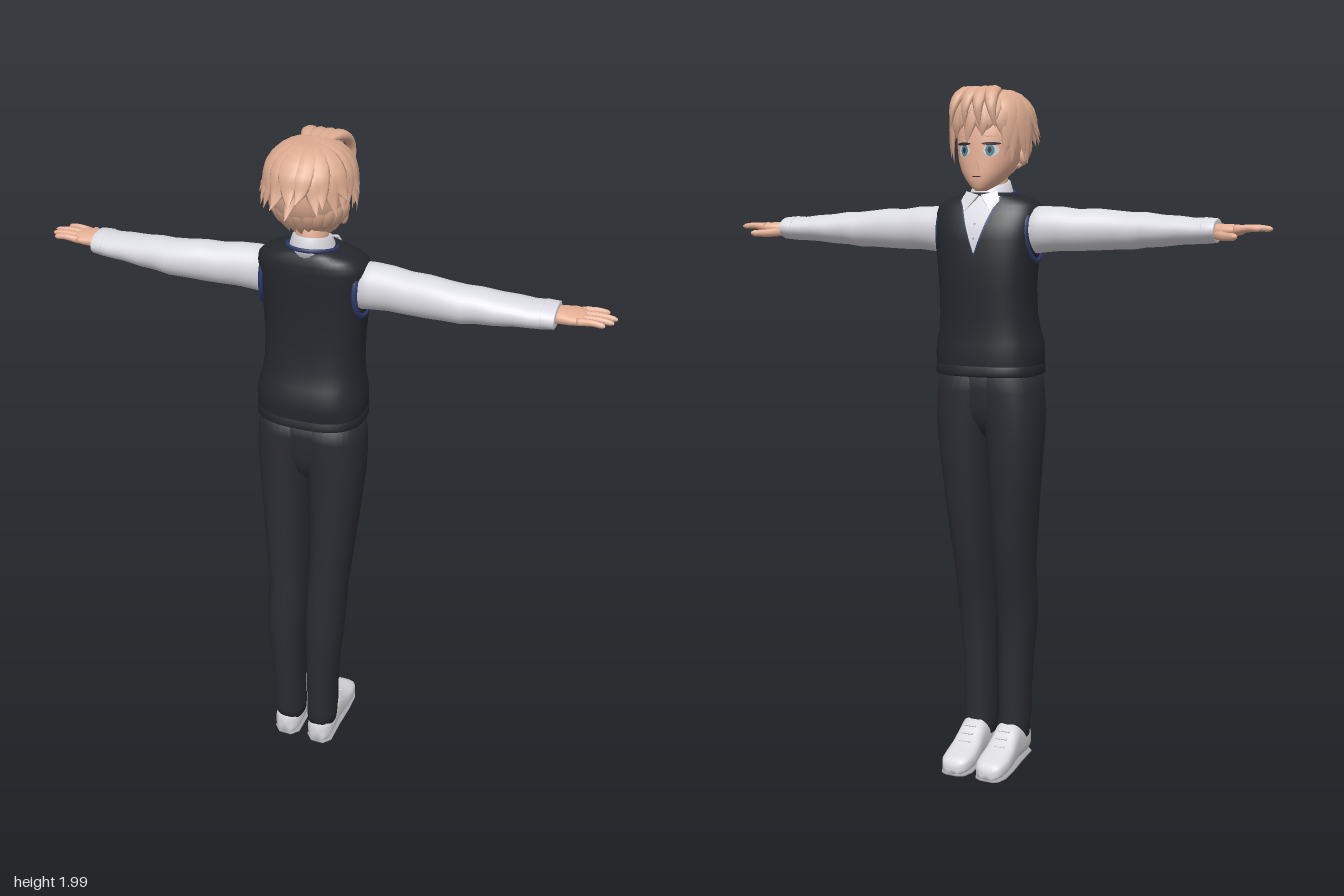
import * as THREE from 'three';

const mat = (name, color, side = THREE.FrontSide) => {
  const m = new THREE.MeshStandardMaterial({ color, side });
  m.name = name;
  return m;
};

// Grid of rings -> smooth closed skin with capped ends
function skin(rings) {
  const n = rings[0].length, pos = [], idx = [];
  rings.forEach(r => r.forEach(p => pos.push(p.x, p.y, p.z)));
  for (let j = 0; j < rings.length - 1; j++)
    for (let i = 0; i < n; i++) {
      const a = j * n + i, b = j * n + (i + 1) % n;
      idx.push(a, a + n, b, b, a + n, b + n);
    }
  [0, rings.length - 1].forEach(j => {
    const c = new THREE.Vector3();
    rings[j].forEach(p => c.addScaledVector(p, 1 / n));
    const k = pos.length / 3;
    pos.push(c.x, c.y, c.z);
    for (let i = 0; i < n; i++) {
      const a = j * n + i, b = j * n + (i + 1) % n;
      j ? idx.push(k, b, a) : idx.push(k, a, b);
    }
  });
  const g = new THREE.BufferGeometry();
  g.setAttribute('position', new THREE.Float32BufferAttribute(pos, 3));
  g.setIndex(idx);
  g.computeVertexNormals();
  return g;
}

// Superellipse loft; each row is [position, uMin, uMax, vMin, vMax]
const AXES = { y: ['x', 'z'], x: ['z', 'y'], z: ['y', 'x'] };
function loft(axis, rows, p = 2, n = 32) {
  const [u, v] = AXES[axis], q = c => Math.sign(c) * Math.abs(c) ** (2 / p);
  return skin(rows.map(([s, a, b, c, d]) => Array.from({ length: n }, (_, i) => {
    const t = i / n * Math.PI * 2, pt = new THREE.Vector3();
    pt[axis] = s;
    pt[u] = (a + b) / 2 + (b - a) / 2 * q(Math.cos(t));
    pt[v] = (c + d) / 2 + (d - c) / 2 * q(Math.sin(t));
    return pt;
  })));
}

// Tapered strand along a curve, flattened against a centre point
function strand(points, width, thick, centre, taper, steps = 10, n = 8) {
  const curve = new THREE.CatmullRomCurve3(points.map(p => new THREE.Vector3(...p)));
  return skin(Array.from({ length: steps + 1 }, (_, j) => {
    const t = j / steps, c = curve.getPoint(t), dir = curve.getTangent(t);
    const side = new THREE.Vector3().crossVectors(c.clone().sub(centre), dir).normalize();
    const out = new THREE.Vector3().crossVectors(dir, side).normalize(), k = taper(t);
    return Array.from({ length: n }, (_, i) => {
      const a = i / n * Math.PI * 2;
      return c.clone().addScaledVector(out, thick * k * Math.cos(a)).addScaledVector(side, width * k * Math.sin(a));
    });
  }));
}

function mirror(g) {
  const m = g.clone().scale(-1, 1, 1), ix = m.index.array;
  for (let i = 0; i < ix.length; i += 3) [ix[i], ix[i + 1]] = [ix[i + 1], ix[i]];
  m.computeVertexNormals();
  return m;
}

// Thin patch lying on the front (-z) of a y loft
function decal(rows, p, cx, yTop, yBot, half, off) {
  const g = new THREE.PlaneGeometry(1, 1, 8, 12), a = g.attributes.position;
  for (let i = 0; i < a.count; i++) {
    const t = 0.5 - a.getY(i), y = yTop + (yBot - yTop) * t, x = cx - 2 * a.getX(i) * half(t);
    let j = 0;
    while (j < rows.length - 2 && rows[j + 1][0] < y) j++;
    const f = (y - rows[j][0]) / (rows[j + 1][0] - rows[j][0]);
    const [, x0, x1, z0, z1] = rows[j].map((v, k) => v + (rows[j + 1][k] - v) * f);
    const e = Math.min(1, Math.abs((x - (x0 + x1) / 2) / ((x1 - x0) / 2)));
    a.setXYZ(i, x, y, (z0 + z1) / 2 - (z1 - z0) / 2 * (1 - e ** p) ** (1 / p) - off);
  }
  g.computeVertexNormals();
  return g;
}

export function createModel() {
  const M = {
    hair: mat('hair', 0xdcab90), skin: mat('skin', 0xe6b096), shirt: mat('shirt', 0xd9d9e0, THREE.DoubleSide),
    vest: mat('vest', 0x24272d), trousers: mat('trousers', 0x2a2b32), shoe: mat('shoe', 0xdcdce0),
    sole: mat('sole', 0xa6a6ac), navy: mat('navy trim', 0x2f3a68), dark: mat('dark line', 0x33262a), iris: mat('iris', 0x4a8c98),
  };
  const root = new THREE.Group();
  root.name = 'student';
  const add = (name, g, m) => {
    const o = new THREE.Mesh(g, m);
    o.name = name;
    root.add(o);
  };
  const pair = (name, g, m) => { add(name + 'Left', g, m); add(name + 'Right', mirror(g), m); };
  const sym = rows => rows.map(([y, x, z0, z1]) => [y, -x, x, z0, z1]);

  // Vest with a ribbed hem
  const vestRows = sym([[1.19, .148, -.125, .1], [1.2, .154, -.132, .107], [1.25, .156, -.132, .108], [1.28, .154, -.13, .108],
    [1.31, .146, -.128, .094], [1.36, .14, -.129, .08], [1.43, .139, -.133, .073], [1.5, .144, -.135, .07], [1.57, .15, -.132, .07],
    [1.61, .154, -.124, .071], [1.645, .155, -.109, .071], [1.665, .151, -.098, .069], [1.68, .134, -.088, .065], [1.692, .1, -.08, .06], [1.702, .062, -.072, .056]]);
  add('vest', loft('y', vestRows, 2.6, 48), M.vest);
  add('vestHem', loft('y', sym([[1.187, .15, -.127, .102], [1.192, .157, -.134, .11], [1.216, .157, -.134, .11], [1.222, .15, -.127, .1]]), 2.6, 48), M.vest);
  add('neckTrim', decal(vestRows, 2.6, 0, 1.69, 1.527, t => .061 * (1 - t) + .001, .002), M.navy);
  add('shirtFront', decal(vestRows, 2.6, 0, 1.692, 1.535, t => .056 * (1 - t) + .001, .004), M.shirt);
  for (const y of [1.575, 1.615]) add('button', decal(vestRows, 2.6, 0, y + .004, y - .004, t => .004 * Math.sin(Math.PI * t), .006), M.sole);

  // Neck and shirt collar
  add('neck', loft('y', sym([[1.64, .046, -.055, .045], [1.72, .043, -.05, .046], [1.79, .046, -.05, .05]])), M.skin);
  const collar = loft('y', sym([[1.67, .068, -.085, .062], [1.7, .062, -.078, .062], [1.73, .052, -.065, .056], [1.73, .046, -.058, .05]]));
  const cp = collar.attributes.position;
  for (let i = 0; i < cp.count; i++) cp.setY(i, cp.getY(i) + cp.getZ(i) * .22);
  collar.computeVertexNormals();
  add('collar', collar, M.shirt);
  add('collarTrim', new THREE.TorusGeometry(1, .07, 8, 40).rotateX(Math.PI / 2).scale(.068, .08, .07).rotateX(-.15).translate(0, 1.699, -.006), M.navy);
  const flap = new THREE.Shape([[.004, .0], [.05, .012], [.058, -.018], [.034, -.052]].map(p => new THREE.Vector2(...p)));
  const flapGeo = new THREE.ExtrudeGeometry(flap, { depth: .006, bevelEnabled: false }).rotateX(.5).rotateY(-.25).translate(0, 1.695, -.094);
  add('collarFlapLeft', flapGeo, M.shirt);
  add('collarFlapRight', flapGeo.clone().scale(-1, 1, 1), M.shirt);

  // Sleeves, armhole trim wrapped onto the vest, and cuffs
  const sleeve = [[.12, -.078, .036, 1.53, 1.664], [.17, -.082, .034, 1.536, 1.664], [.22, -.076, .036, 1.541, 1.663], [.27, -.074, .039, 1.541, 1.656],
    [.32, -.068, .044, 1.543, 1.658], [.38, -.064, .047, 1.546, 1.652], [.42, -.066, .048, 1.546, 1.648], [.46, -.066, .044, 1.552, 1.648],
    [.51, -.071, .042, 1.555, 1.641], [.56, -.074, .037, 1.561, 1.638], [.6, -.077, .034, 1.563, 1.633], [.63, -.079, .031, 1.564, 1.634], [.66, -.082, .026, 1.568, 1.631]];
  pair('sleeve', loft('x', sleeve), M.shirt);
  const trim = new THREE.TorusGeometry(1, .11, 8, 40).rotateY(Math.PI / 2).scale(.09, .077, .062), tp = trim.attributes.position;
  for (let i = 0; i < tp.count; i++) {
    const z = tp.getZ(i) / .062, y = tp.getY(i) / .077;
    tp.setXYZ(i, tp.getX(i) * .7 + .148 - .014 * z * z - (y > 0 ? .012 : .004) * y * y, tp.getY(i) + 1.589, tp.getZ(i) - .022);
  }
  trim.computeVertexNormals();
  pair('armholeTrim', trim, M.navy);
  pair('cuff', loft('x', [[.624, -.077, .03, 1.566, 1.632], [.627, -.081, .032, 1.564, 1.635], [.66, -.083, .027, 1.567, 1.632], [.662, -.078, .02, 1.572, 1.627]]), M.shirt);

  // Hands
  pair('palm', loft('x', [[.64, -.062, .0, 1.58, 1.618], [.67, -.075, .0, 1.58, 1.618], [.7, -.085, .004, 1.583, 1.617], [.725, -.08, .004, 1.588, 1.615], [.735, -.07, 0, 1.594, 1.61]], 2.4, 20), M.skin);
  const under = new THREE.Vector3(.7, 1, -.04), round = t => t > .99 ? .3 : 1 - .35 * t;
  [[-.073, -.079, .785], [-.05, -.047, .81], [-.025, -.022, .805], [-.003, .002, .787]].forEach(([z0, z1, x]) =>
    pair('finger', strand([[.715, 1.602, z0], [(x + .72) / 2, 1.607, (z0 + z1) / 2], [x, 1.604, z1]], .011, .011, under, round), M.skin));
  pair('thumb', strand([[.665, 1.59, -.055], [.695, 1.585, -.092], [.732, 1.585, -.126]], .015, .014, under, round), M.skin);

  // Trousers: seat filling between the two legs
  add('seat', loft('y', sym([[.985, .02, -.03, .04], [1.02, .05, -.07, .07], [1.06, .085, -.094, .082], [1.1, .11, -.102, .087], [1.15, .14, -.104, .088], [1.22, .145, -.108, .09]]), 2.2, 40), M.trousers);
  pair('leg', loft('y', [[.065, .01, .098, -.012, .1], [.1, .008, .099, -.016, .106], [.14, .009, .103, -.012, .108], [.2, .009, .102, -.014, .11], [.32, .008, .108, -.015, .116],
    [.44, .007, .119, -.02, .121], [.52, .005, .121, -.035, .116], [.6, .004, .121, -.055, .107], [.7, .007, .129, -.073, .099], [.82, .005, .14, -.089, .094],
    [.92, .002, .149, -.098, .091], [1, -.004, .157, -.105, .09], [1.08, -.014, .16, -.107, .09], [1.14, -.03, .157, -.108, .09], [1.21, -.04, .15, -.108, .088]], 2.3), M.trousers);

  // Shoes
  pair('shoe', loft('z', [[-.177, .006, .035, .035, .075], [-.17, .004, .046, .02, .09], [-.15, .003, .055, .01, .099], [-.115, .003, .062, .006, .103], [-.075, .003, .076, .008, .102],
    [-.04, .003, .1, .012, .099], [-.01, .003, .12, .013, .098], [.02, .003, .112, .013, .098], [.06, .003, .094, .013, .098], [.09, .003, .088, .02, .092], [.102, .006, .078, .034, .078]], 2.9), M.shoe);
  pair('sole', loft('z', [[-.178, 0, .006, .035, .075], [-.17, 0, .006, .018, .092], [-.14, 0, .006, .006, .103], [-.08, 0, .006, .006, .104], [0, 0, .006, .013, .099], [.08, 0, .006, .014, .098], [.103, 0, .006, .035, .077]], 6), M.sole);
  for (let i = 0; i < 3; i++)
    pair('lace', new THREE.CylinderGeometry(.003, .003, .036, 8).rotateZ(Math.PI / 2).translate(.056, .073 + i * .017, -.084 + i * .02), M.shoe);

  // Head, nose and ears
  const headRows = sym([[1.706, .014, -.1, -.06], [1.716, .03, -.108, -.03], [1.735, .05, -.113, .01], [1.76, .07, -.114, .045], [1.79, .083, -.113, .07],
    [1.83, .09, -.112, .085], [1.88, .092, -.11, .092], [1.93, .08, -.092, .085], [1.96, .05, -.06, .055]]);
  add('head', loft('y', headRows, 2.2, 40), M.skin);
  add('nose', new THREE.ConeGeometry(.009, .032, 8).rotateX(-.25).translate(0, 1.778, -.115), M.skin);
  pair('ear', new THREE.SphereGeometry(1, 16, 12).scale(.011, .026, .017).translate(.092, 1.803, .008), M.skin);

  // Eyes, brows and mouth
  const oval = (w, e = .6) => t => w * Math.max(0, Math.sin(Math.PI * t)) ** e;
  for (const s of [-1, 1]) {
    const face = (name, x, top, bot, half, off, m) => add(name, decal(headRows, 2.2, s * x, top, bot, half, off), m);
    face('eyeWhite', .04, 1.833, 1.799, oval(.02), .002, M.shirt);
    face('iris', .038, 1.833, 1.799, oval(.012), .0035, M.iris);
    face('pupil', .038, 1.825, 1.808, oval(.005), .005, M.dark);
    face('lash', .041, 1.838, 1.829, oval(.024), .006, M.dark);
    face('brow', .04, 1.856, 1.851, oval(.021), .004, M.hair);
  }
  add('mouth', decal(headRows, 2.2, 0, 1.746, 1.743, oval(.014), .002), M.dark);

  // Hair cap: hem low at the nape, high over the face
  const cap = new THREE.SphereGeometry(1, 40, 16), pos = cap.attributes.position, uv = cap.attributes.uv;
  for (let i = 0; i < pos.count; i++) {
    const a = uv.getX(i) * Math.PI * 2, back = Math.cos(a);
    const th = (1 - uv.getY(i)) * (1.72 + .5 * back), r = Math.sin(th);
    pos.setXYZ(i, Math.sin(a) * r * .112, 1.87 + .116 * Math.cos(th), .006 + back * r * .12);
  }
  cap.computeVertexNormals();
  add('hairCap', cap, M.hair);

  // Hair locks in two layers around the crown; angle 0 is the back
  let seed = 7;
  const rnd = () => (seed = seed * 16807 % 2147483647) / 2147483647;
  const centre = new THREE.Vector3(0, 1.86, 0), leaf = t => Math.max(.03, Math.min(1, .35 + t * 1.6) * (1 - t ** 3));
  const lock = (a, swirl, tipY, tipR, lift, w) => {
    const at = (k, y, f) => {
      const b = a + swirl * f, c = Math.cos(b);
      return [Math.sin(b) * k * .116, y, .006 + c * k * (c > 0 ? .128 : .124)];
    };
    add('hairLock', strand([at(.08, 1.977 + lift, -1), at(.55, 1.968 + lift, -.6), at(.92, 1.925 + lift, 0), at(1.02, (1.925 + tipY) / 2, .4), at(tipR, tipY, 1)], w, .01, centre, leaf), M.hair);
  };
  for (let layer = 0; layer < 2; layer++)
    for (let i = 0; i < 17; i++) {
      const a = (i + layer * .5 + rnd() * .3) / 17 * Math.PI * 2, c = Math.cos(a);
      const low = c > -.1 ? 1.825 : c > -.8 ? 1.775 : 1.83;
      const flick = c > .8 ? 1.16 + rnd() * .1 : c > -.1 ? 1.08 + rnd() * .08 : .98 + rnd() * .05;
      lock(a, (rnd() - .5) * .3, low + layer * .02 + rnd() * .025, flick, layer * .006, .028 + rnd() * .008);
    }
  // Nape locks
  for (let i = -5; i <= 5; i++) {
    const a = i * .27, d = (k, y) => [Math.sin(a) * k, y, .004 + Math.cos(a) * k];
    add('napeLock', strand([d(.1, 1.87), d(.104, 1.83), d(.088, 1.79), d(.07, 1.748 + rnd() * .02 + Math.abs(i) * .004)], .021, .01, centre, leaf), M.hair);
  }
  // Front tufts sweeping forward off the crown
  for (const x of [-.045, -.012, .02, .05])
    add('frontTuft', strand([[x * .4, 1.97, -.005], [x * .8, 1.982, -.06], [x, 1.968, -.11], [x * 1.2, 1.93, -.136], [x * 1.4, 1.875, -.13]], .024, .014, centre, leaf), M.hair);

  return root;
}
